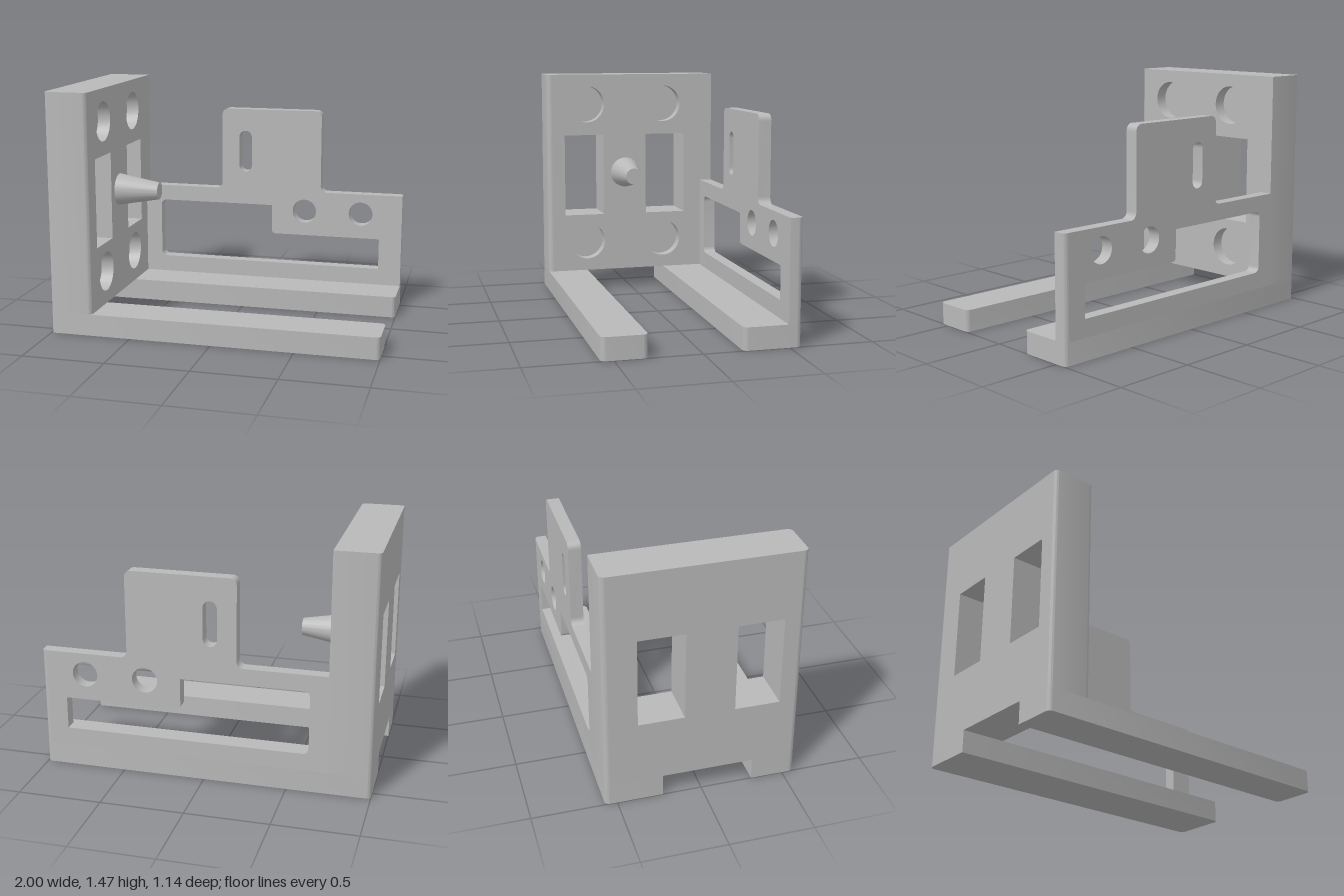
import * as THREE from 'three';
import { toCreasedNormals } from 'three/addons/utils/BufferGeometryUtils.js';

// Closed outline from [x, y, radius] corners; a radius rounds its corner
function outline(corners, Type = THREE.Shape) {
  const path = new Type();
  const n = corners.length;
  corners.forEach(([x, y, r = 0], i) => {
    const toward = ([px, py], d) => {
      const len = Math.hypot(px - x, py - y);
      return [x + (px - x) * d / len, y + (py - y) * d / len];
    };
    const prev = corners[(i + n - 1) % n], next = corners[(i + 1) % n];
    const a = toward(prev, r), b = toward(next, r);
    if (i === 0) path.moveTo(...a); else path.lineTo(...a);
    if (r) path.bezierCurveTo(...toward(prev, r * 0.45), ...toward(next, r * 0.45), ...b);
  });
  path.closePath();
  return path;
}
const rect = (x0, x1, y0, y1, r = 0, Type = THREE.Path) =>
  outline([[x0, y0, r], [x1, y0, r], [x1, y1, r], [x0, y1, r]], Type);
const circle = (x, y, r) => new THREE.Path().absarc(x, y, r, 0, Math.PI * 2, true);

function extrude(shape, depth, holes = []) {
  shape.holes.push(...holes);
  return new THREE.ExtrudeGeometry(shape, { depth, bevelEnabled: false, curveSegments: 16 });
}

export function createModel() {
  const group = new THREE.Group();
  const grey = new THREE.MeshStandardMaterial({ color: 0xb8b8b8 });
  grey.name = 'grey plastic';
  const add = (name, geometry) => {
    const mesh = new THREE.Mesh(toCreasedNormals(geometry, 0.6), grey);
    mesh.name = name;
    group.add(mesh);
  };
  // Plan outlines are given as [x, -z, radius] and rise along y
  const rise = (name, corners, y0, y1) =>
    add(name, extrude(outline(corners), y1 - y0).rotateX(-Math.PI / 2).translate(0, y0, 0));

  const Z = 0.572, R = 0.03, IN = -0.735, BASE = 0.133, TOP = 1.47;

  // Two base rails
  rise('frontRail', [[-1, -Z, R], [1, -Z, R], [1, -0.308, R], [-1, -0.308]], 0, BASE);
  rise('backRail', [[-1, 0.23], [1, 0.23, R], [1, Z, R], [-1, Z, R]], 0, BASE);

  // Upright wall: through windows in both layers, blind round pockets in the inner one
  const E = Z - R, pocket = 0.08;
  const windows = () => [rect(-0.457, -0.19, 0.517, 1.062), rect(0.105, 0.376, 0.517, 1.062)];
  const pockets = [];
  for (const u of [-0.306, 0.225]) for (const y of [0.334, 1.27]) pockets.push(circle(u, y, 0.122));
  const layer = (name, x0, x1, holes) => add(name,
    extrude(rect(-E, E, BASE, TOP, 0, THREE.Shape), x1 - x0, holes)
      .rotateY(Math.PI / 2).translate(x0, 0, 0));
  layer('wallOuterLayer', -1, IN - pocket, windows());
  layer('wallInnerLayer', IN - pocket, IN, [...windows(), ...pockets]);
  rise('wallFrontEdge', [[-1, -Z, R], [IN, -Z, R], [IN, -E], [-1, -E]], BASE, TOP);
  rise('wallBackEdge', [[-1, E], [IN, E], [IN, Z], [-1, Z, R]], BASE, TOP);

  // Tapered peg on the wall
  add('peg', new THREE.CylinderGeometry(0.053, 0.1, 0.265, 48)
    .rotateZ(-Math.PI / 2).translate(IN + 0.1325, 0.803, 0.04));

  // Back plate with raised tab, stepped window, slot and two holes
  const f = 0.04, t = 0.077, H = 0.733, END = 1 - R;
  const plate = outline([[IN, BASE], [END, BASE], [END, H], [0.465, H, f], [0.465, 1.268, f],
    [-0.2, 1.268, f], [-0.2, H, f], [IN, H]]);
  const steppedWindow = outline([[-0.63, 0.24, 0.035], [0.855, 0.24], [0.855, 0.44],
    [0.14, 0.44, 0.025], [0.14, 0.632], [-0.63, 0.632, 0.035]], THREE.Path);
  add('backPlate', extrude(plate, t, [steppedWindow, rect(-0.084, 0, 0.85, 1.124, 0.0419),
    circle(0.358, 0.602, 0.078), circle(0.731, 0.602, 0.078)]).translate(0, 0, -Z));
  rise('backPlateEnd', [[END, Z - t], [1, Z - t], [1, Z, R], [END, Z]], BASE, H);

  return group;
}
